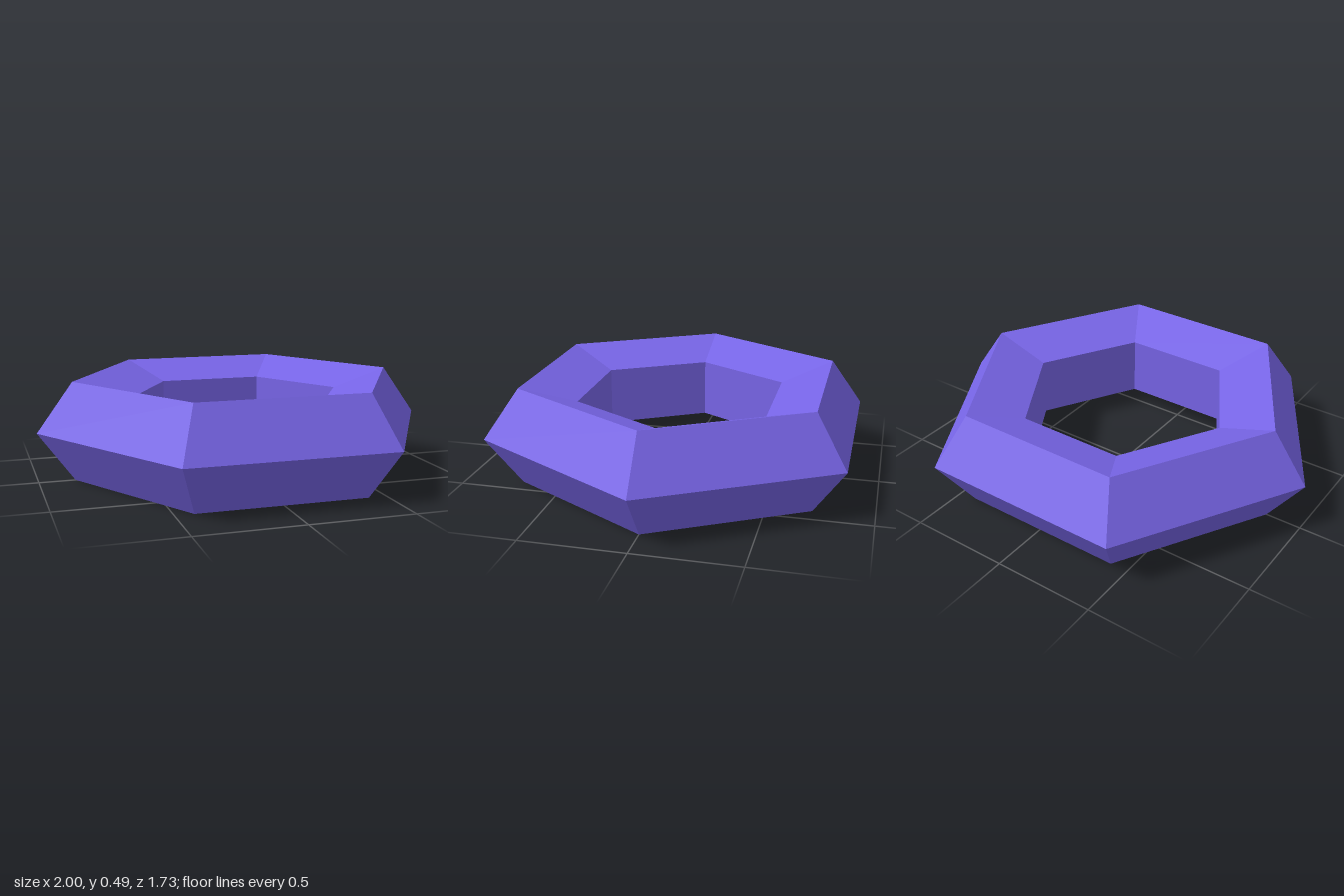
import * as THREE from 'three';

export function createModel() {
  const group = new THREE.Group();
  group.name = 'hexagonalRing';

  const violet = new THREE.MeshStandardMaterial({ color: 0x7b68ee, flatShading: true });
  violet.name = 'violet';

  // Six-sided ring with a pentagonal section, its point facing outwards
  const tube = 0.2555;
  const geometry = new THREE.TorusGeometry(1 - tube, tube, 5, 6);
  geometry.rotateX(-Math.PI / 2);
  geometry.translate(0, tube * Math.sin(Math.PI * 0.4), 0);

  const ring = new THREE.Mesh(geometry, violet);
  ring.name = 'ring';
  group.add(ring);
  return group;
}
